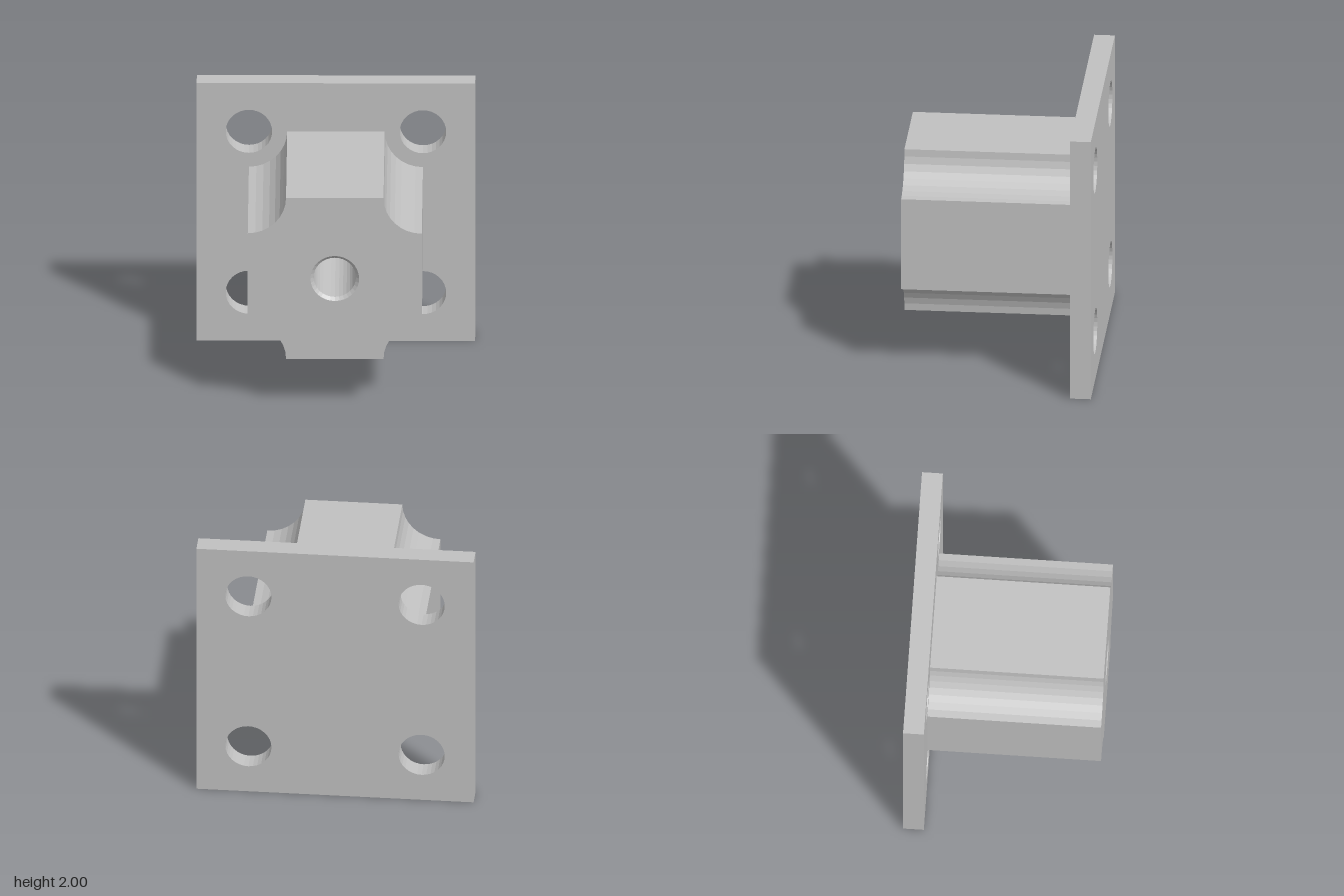
import * as THREE from 'three';

const HOLE_OFFSET = 0.625; // bolt-hole centres, also the block's scalloped corners
const BACK = -0.7, PLATE_FRONT = -0.55, FRONT = 0.7;

// Points along a circular arc
function arc(cx, cy, r, from, to, steps) {
  return Array.from({ length: steps + 1 }, (_, i) => {
    const a = from + ((to - from) * i) / steps;
    return new THREE.Vector2(cx + r * Math.cos(a), cy + r * Math.sin(a));
  });
}

function circleHole(cx, cy, r) {
  return new THREE.Path(arc(cx, cy, r, 0, -Math.PI * 2, 32).slice(0, -1));
}

function extrude(shape, z0, z1) {
  return new THREE.ExtrudeGeometry(shape, { depth: z1 - z0, bevelEnabled: false }).translate(0, 0, z0);
}

export function createModel() {
  const model = new THREE.Group();
  model.name = 'flangedBlock';
  const grey = new THREE.MeshStandardMaterial({ color: 0xc0c0c0 });
  grey.name = 'grey metal';

  const add = (name, geometry) => {
    const mesh = new THREE.Mesh(geometry, grey);
    mesh.name = name;
    mesh.position.y = 1;
    model.add(mesh);
  };

  // Square plate with four bolt holes
  const plate = new THREE.Shape([[-1, -1], [1, -1], [1, 1], [-1, 1]].map(p => new THREE.Vector2(...p)));
  for (const sx of [-1, 1])
    for (const sy of [-1, 1]) plate.holes.push(circleHole(sx * HOLE_OFFSET, sy * HOLE_OFFSET, 0.167));
  add('mountingPlate', extrude(plate, BACK, PLATE_FRONT));

  // Block with a concave scallop around each bolt hole
  const outline = [];
  for (let i = 0; i < 4; i++) {
    const a = Math.PI / 4 + (i * Math.PI) / 2;
    const cx = HOLE_OFFSET * Math.sign(Math.cos(a)), cy = HOLE_OFFSET * Math.sign(Math.sin(a));
    const start = (i * Math.PI) / 2 + Math.PI * 1.5;
    outline.push(...arc(cx, cy, 0.275, start, start - Math.PI / 2, 8));
  }
  const block = new THREE.Shape(outline);
  block.holes.push(circleHole(0, 0, 0.175));
  add('scallopedBlock', extrude(block, PLATE_FRONT, FRONT));

  // Blind bore with a chamfered mouth
  const profile = [[0.175, FRONT], [0.152, FRONT - 0.023], [0.152, -0.3], [0, -0.3]];
  const bore = new THREE.LatheGeometry(profile.map(p => new THREE.Vector2(...p)), 32)
    .rotateX(Math.PI / 2).toNonIndexed();
  bore.computeVertexNormals();
  add('centreBore', bore);

  return model;
}
